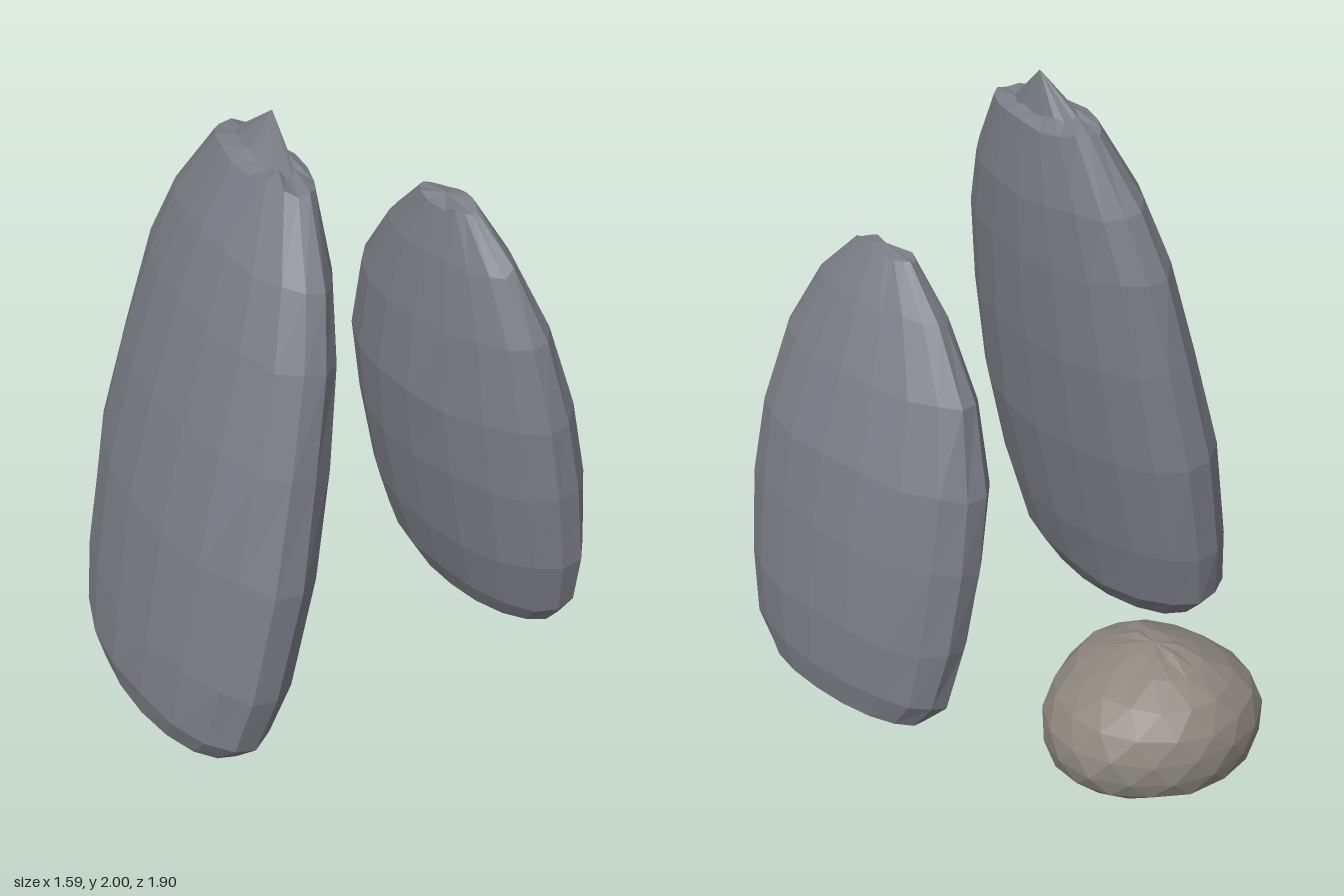
import * as THREE from 'three';

// Small seeded random for the uneven, chiselled surface
function seeded(seed) {
  let s = seed;
  return () => {
    s = (s * 16807) % 2147483647;
    return s / 2147483647;
  };
}

// Faceted stone lofted through elliptical rings [y, half width x, half depth z, shift z],
// closed by a flat base and by a fan to a tip at height tipY
function stone(name, color, rings, tipY, { sides = 18, stagger = 0, rough = 0.012, seed = 7, tipZ = 0 }) {
  const rand = seeded(seed);
  const pos = [];
  const index = [];
  rings.forEach(([y, a, c, dz = 0], k) => {
    for (let i = 0; i < sides; i++) {
      const t = ((i + k * stagger) / sides) * Math.PI * 2;
      const r = 1 + (rand() - 0.5) * 2 * rough;
      const lift = k === 0 ? 0 : (rand() - 0.5) * rough * 2;
      pos.push(Math.cos(t) * a * r, y + lift, Math.sin(t) * c * r + dz);
    }
  });
  const base = pos.length / 3;
  pos.push(0, rings[0][0], rings[0][3] ?? 0, 0, tipY, tipZ);
  const last = (rings.length - 1) * sides;
  for (let i = 0; i < sides; i++) {
    const j = (i + 1) % sides;
    for (let k = 0; k < rings.length - 1; k++) {
      const lo = k * sides;
      const up = lo + sides;
      index.push(lo + i, up + i, lo + j, up + i, up + j, lo + j);
    }
    index.push(base, i, j, base + 1, last + j, last + i);
  }
  const geo = new THREE.BufferGeometry();
  geo.setAttribute('position', new THREE.Float32BufferAttribute(pos, 3));
  geo.setIndex(index);
  const flat = geo.toNonIndexed();
  flat.computeVertexNormals();
  const mesh = new THREE.Mesh(flat, new THREE.MeshStandardMaterial({ color, flatShading: true }));
  mesh.name = name;
  return mesh;
}

export function createModel() {
  const group = new THREE.Group();
  group.name = 'standingStones';
  const slate = 0x7b7d86;

  // Tall slab, leaning inward, with a small pointed crown
  const tall = stone('tallSlab', slate, [
    [0, 0.185, 0.43],
    [0.1, 0.222, 0.535],
    [0.32, 0.242, 0.585],
    [0.72, 0.256, 0.6],
    [1.08, 0.235, 0.565],
    [1.4, 0.2, 0.515],
    [1.62, 0.165, 0.43],
    [1.85, 0.1, 0.27],
    [1.87, 0.055, 0.165],
  ], 2.0, { seed: 11 });
  tall.position.set(-0.61, 0.04, 0.355);
  tall.rotation.z = -0.185;
  group.add(tall);

  // Shorter slab, turned slightly and leaning the other way
  const short = stone('shortSlab', slate, [
    [0, 0.145, 0.37],
    [0.1, 0.18, 0.45],
    [0.32, 0.212, 0.5],
    [0.62, 0.226, 0.515],
    [0.88, 0.218, 0.505],
    [1.16, 0.165, 0.43, 0.01],
    [1.38, 0.105, 0.29, 0.03],
    [1.54, 0.048, 0.13, 0.04],
  ], 1.555, { seed: 29, tipZ: 0.04 });
  short.position.set(0.605, 0.035, 0.27);
  short.rotation.set(0, 0.17, 0.153, 'ZYX');
  group.add(short);

  // Rounded boulder behind, with a flat base
  const boulder = stone('boulder', 0x8d877f, [
    [0.02, 0.3, 0.235],
    [0.06, 0.345, 0.3],
    [0.125, 0.367, 0.325],
    [0.2, 0.362, 0.332],
    [0.275, 0.322, 0.315],
    [0.345, 0.24, 0.265],
    [0.4, 0.14, 0.175],
    [0.43, 0.065, 0.08],
  ], 0.44, { stagger: 0.5, sides: 16, rough: 0.008, seed: 53 });
  boulder.position.set(-0.01, 0, -0.625);
  group.add(boulder);

  return group;
}
